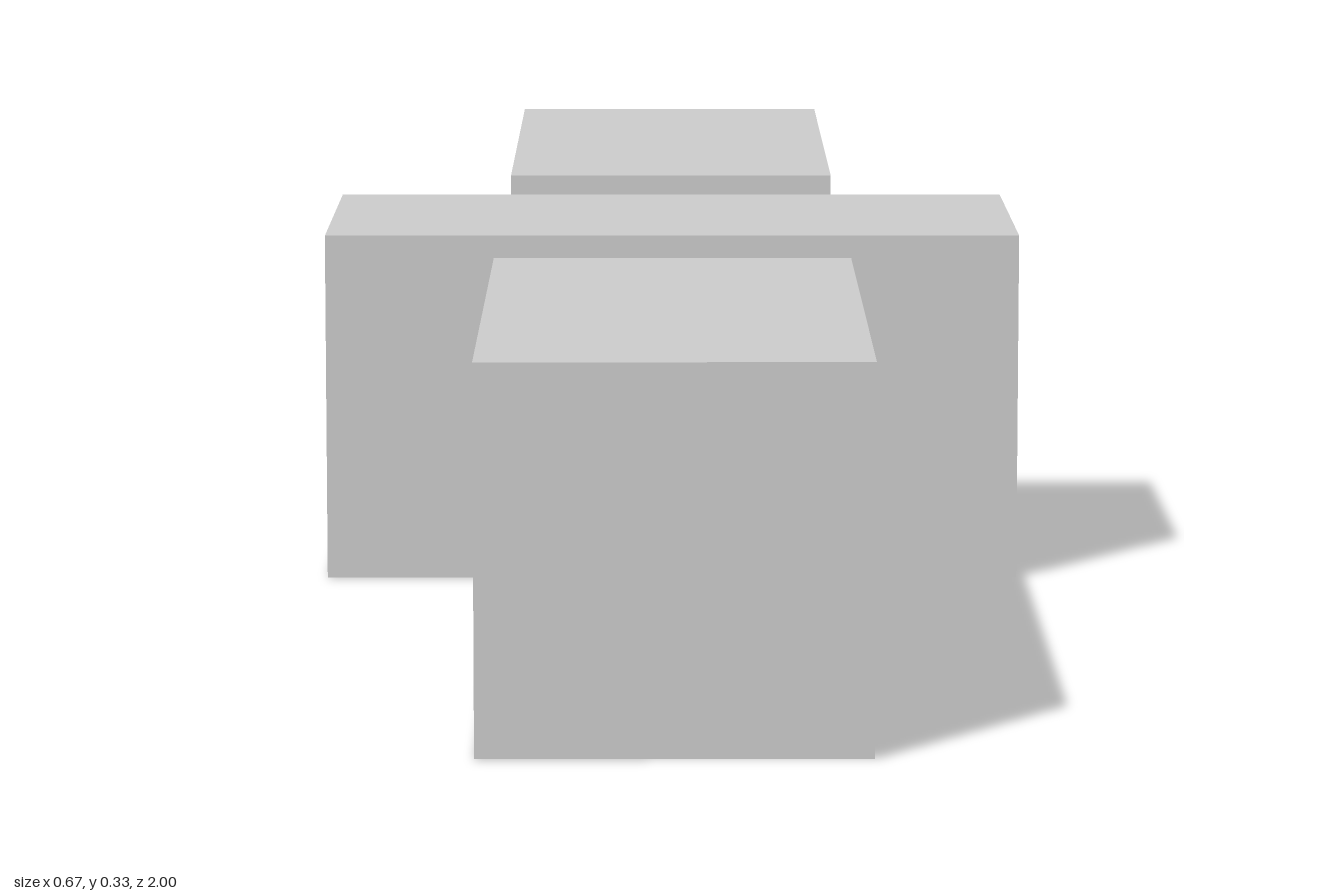
import * as THREE from 'three';

const UNIT = 1 / 3; // every block measures one or two units per side

export function createModel() {
  const group = new THREE.Group();
  group.name = 'blockRow';
  const material = new THREE.MeshStandardMaterial({ color: 0xcccccc, flatShading: true });

  const addBlock = (name, width, depth, z) => {
    const block = new THREE.Mesh(new THREE.BoxGeometry(width, UNIT, depth), material);
    block.name = name;
    block.position.set(0, UNIT / 2, z);
    group.add(block);
  };

  // Lengthwise blocks at both ends, a crosswise block in the middle
  addBlock('frontBlock', UNIT, 2 * UNIT, 2 * UNIT);
  addBlock('middleCrossBlock', 2 * UNIT, UNIT, 0);
  addBlock('backBlock', UNIT, 2 * UNIT, -2 * UNIT);

  return group;
}
